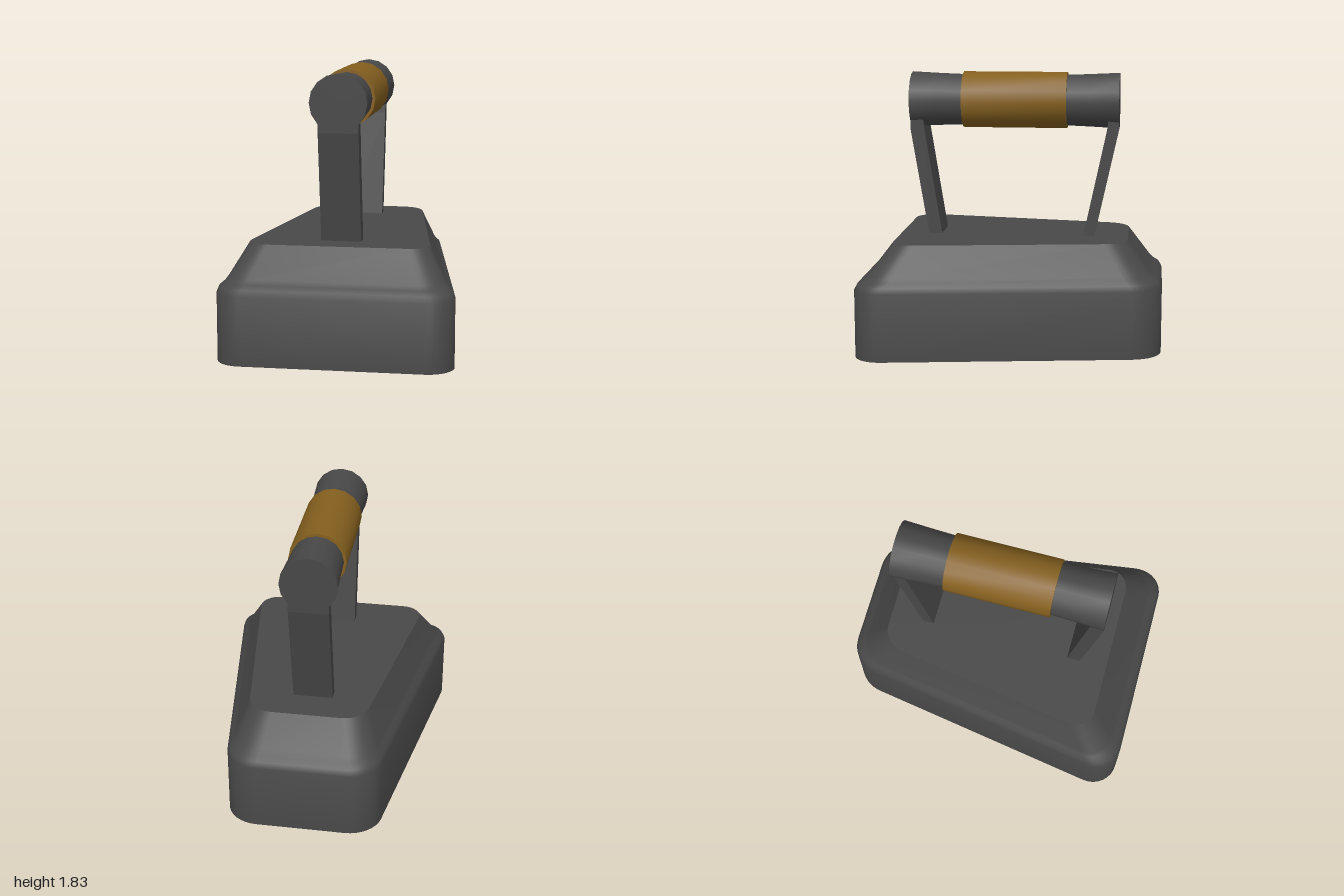
import * as THREE from 'three';
import { toCreasedNormals } from 'three/addons/utils/BufferGeometryUtils.js';

const iron = new THREE.MeshStandardMaterial({ color: 0x484848 });
const wood = new THREE.MeshStandardMaterial({ color: 0x85601f });

function addMesh(group, name, geometry, material) {
  const mesh = new THREE.Mesh(geometry, material);
  mesh.name = name;
  group.add(mesh);
  return mesh;
}

// Outline corners as [x, z, fillet radius], counterclockwise from above
const baseCorners = [[0.785, 1, 0.17], [0.497, -1, 0.22], [-0.468, -1, 0.22], [-0.79, 1, 0.17]];
const topCorners = [[0.6, 0.765, 0.13], [0.384, -0.77, 0.17], [-0.36, -0.77, 0.17], [-0.605, 0.765, 0.13]];

// Rounded tapered outline at blend t between the base and the top
function outline(t, y, steps = 8) {
  const corners = baseCorners.map((c, i) => c.map((v, k) => THREE.MathUtils.lerp(v, topCorners[i][k], t)));
  const at = (i) => new THREE.Vector2(corners[(i + 4) % 4][0], corners[(i + 4) % 4][1]);
  const ring = [];
  corners.forEach(([, , r], i) => {
    const p = at(i);
    const u = at(i - 1).sub(p).normalize();
    const v = at(i + 1).sub(p).normalize();
    const half = Math.acos(u.dot(v)) / 2;
    const centre = p.clone().addScaledVector(u.clone().add(v).normalize(), r / Math.sin(half));
    const start = p.clone().addScaledVector(u, r / Math.tan(half)).sub(centre);
    const sweep = Math.PI - 2 * half;
    for (let s = 0; s <= steps; s++) {
      const q = start.clone().rotateAround(new THREE.Vector2(), -sweep * s / steps).add(centre);
      ring.push([q.x, y, q.y]);
    }
  });
  return ring;
}

// Lofted body with flat top and sole
function bodyGeometry() {
  const levels = [[0, 0], [0.45, 0], [0.487, 0.08], [0.512, 0.25], [0.54, 0.36], [0.74, 1]];
  const rings = levels.map(([y, t]) => outline(t, y));
  const n = rings[0].length;
  const pos = [];
  const tri = (a, b, c) => pos.push(...a, ...b, ...c);
  const last = rings.length - 1;
  for (let i = 0; i < n; i++) {
    const j = (i + 1) % n;
    for (let k = 0; k < last; k++) {
      tri(rings[k][i], rings[k][j], rings[k + 1][j]);
      tri(rings[k][i], rings[k + 1][j], rings[k + 1][i]);
    }
    tri([0, 0.74, 0], rings[last][i], rings[last][j]);
    tri([0, 0, 0], rings[0][j], rings[0][i]);
  }
  const g = new THREE.BufferGeometry();
  g.setAttribute('position', new THREE.Float32BufferAttribute(pos, 3));
  return toCreasedNormals(g, 0.7);
}

// Upright: side profile of [z, y] points extruded across x
function uprightGeometry(profile) {
  const shape = new THREE.Shape(profile.map(([z, y]) => new THREE.Vector2(z, y)));
  const g = new THREE.ExtrudeGeometry(shape, { depth: 0.26, bevelEnabled: false });
  return g.translate(0, 0, -0.13).rotateY(-Math.PI / 2);
}

// Round part along z from [radius, z] points
function turned(points) {
  const g = new THREE.LatheGeometry(points.map(([r, z]) => new THREE.Vector2(r, z)), 16);
  return toCreasedNormals(g.rotateX(Math.PI / 2), 0.7).translate(0, 1.64, 0);
}

export function createModel() {
  const model = new THREE.Group();
  model.name = 'flatIron';
  addMesh(model, 'body', bodyGeometry(), iron);

  // Uprights lean outwards and end inside the bar
  addMesh(model, 'frontUpright', uprightGeometry(
    [[0.483, 0.7], [0.573, 0.7], [0.699, 1.45], [0.699, 1.56], [0.62, 1.56], [0.605, 1.45]]), iron);
  addMesh(model, 'backUpright', uprightGeometry(
    [[-0.46, 0.7], [-0.535, 0.7], [-0.699, 1.45], [-0.699, 1.56], [-0.635, 1.56], [-0.62, 1.45]]), iron);

  // Bar flares towards both ends
  addMesh(model, 'handleBar', turned(
    [[0, -0.7], [0.186, -0.7], [0.176, -0.5], [0.17, -0.34], [0.17, 0.34], [0.176, 0.5], [0.186, 0.7], [0, 0.7]]), iron);
  addMesh(model, 'grip', turned([[0.165, -0.35], [0.189, -0.35], [0.189, 0.35], [0.165, 0.35]]), wood);
  return model;
}
